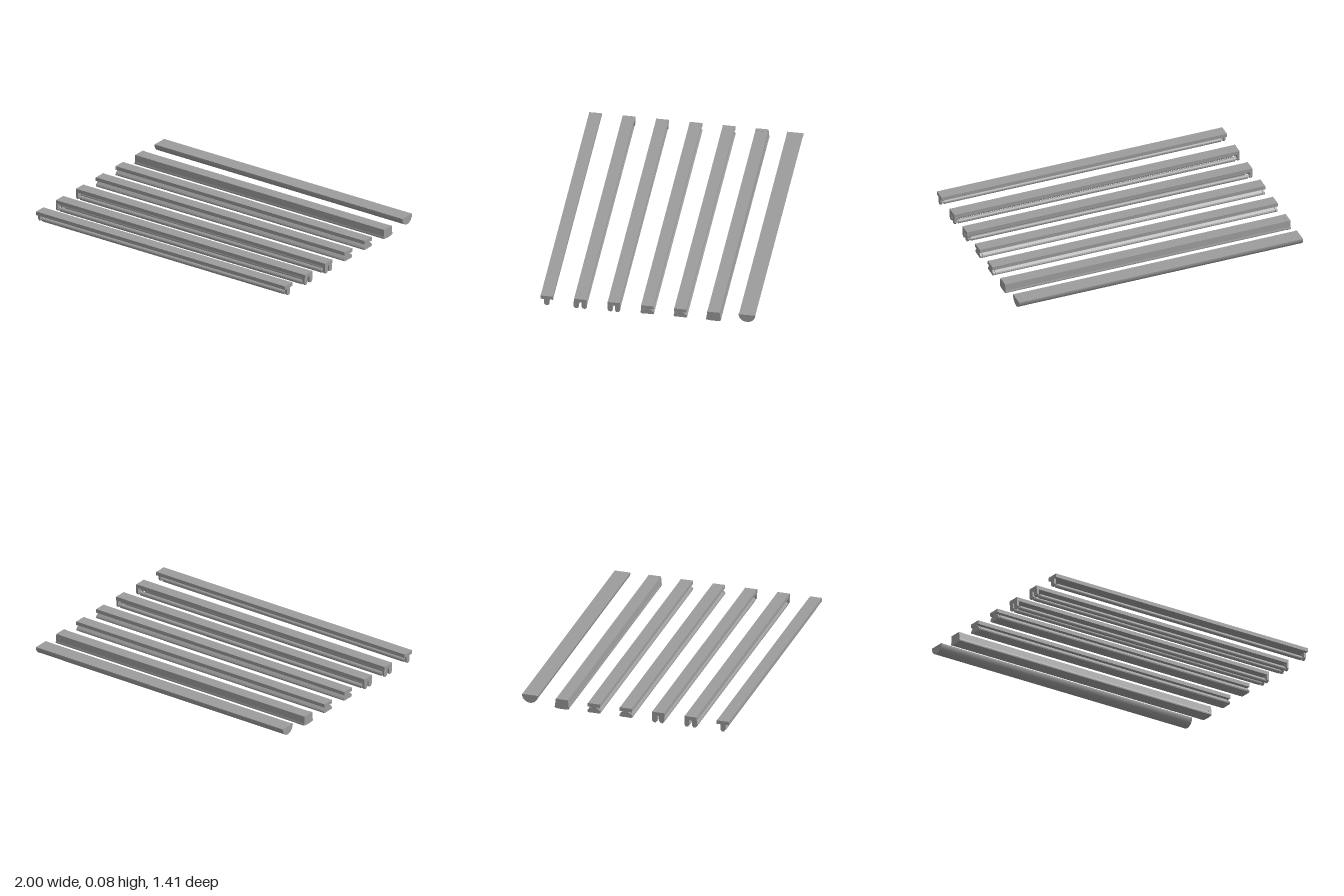
import * as THREE from 'three';

const metal = new THREE.MeshStandardMaterial({ color: 0x9c9c9c });
metal.name = 'grey';

const TOP = 0.078, HOUSING_BOTTOM = 0.053;

function add(group, name, geometry, x = 0, y = 0, z = 0) {
  const mesh = new THREE.Mesh(geometry, metal);
  mesh.name = name;
  mesh.position.set(x, y, z);
  group.add(mesh);
  return mesh;
}

// Mirrors a half profile of [z, y] points, listed top to bottom, and extrudes it along x
function bar(half, length) {
  const mirrored = half.filter(p => p[0] > 0).reverse().map(([z, y]) => [-z, y]);
  const shape = new THREE.Shape([...half, ...mirrored].map(p => new THREE.Vector2(p[0], p[1])));
  const geometry = new THREE.ExtrudeGeometry(shape, { depth: length, bevelEnabled: false });
  geometry.translate(0, 0, -length / 2);
  return geometry.rotateY(Math.PI / 2);
}

function fixture(root, name, z) {
  const group = new THREE.Group();
  group.name = name;
  group.position.z = z;
  root.add(group);
  return group;
}

// Flat rectangular channel with slim end plates
function addHousing(group) {
  const h = TOP - HOUSING_BOTTOM, y = (TOP + HOUSING_BOTTOM) / 2;
  add(group, 'housing', new THREE.BoxGeometry(1.98, h, 0.081), 0, y);
  for (const s of [-1, 1]) {
    add(group, 'endPlate', new THREE.BoxGeometry(0.01, h, 0.084), s * 0.995, y);
  }
}

// Bare tube held between two hanging sockets
function addTube(group, z) {
  const tube = new THREE.CylinderGeometry(0.0145, 0.0145, 1.94, 20).rotateZ(Math.PI / 2);
  add(group, 'tube', tube, 0, 0.0145, z);
  const socket = bar([[0.017, 0.055], [0.017, 0.017], [0.008, 0.004]], 0.015);
  for (const s of [-1, 1]) {
    add(group, 'socket', socket, s * 0.9915, 0, z);
    const pin = new THREE.CylinderGeometry(0.008, 0.008, 0.02, 10).rotateZ(Math.PI / 2);
    add(group, 'tubePin', pin, s * 0.976, 0.0145, z);
  }
}

// Winged diffuser on a narrow neck
const wing = [
  [0.013, 0.055], [0.014, 0.05], [0.028, 0.043], [0.041, 0.031],
  [0.045, 0.023], [0.043, 0.015], [0.034, 0.011], [0.012, 0.012],
];

// Deep box diffuser, flaring slightly towards its lower edge
const boxLens = [
  [0.042, TOP], [0.046, 0.032], [0.049, 0.023], [0.048, 0.015], [0.032, 0.012], [0.012, 0.01],
];

export function createModel() {
  const root = new THREE.Group();
  root.name = 'lightFixtures';

  // Tube battens: one single, two twin
  const battens = [
    ['singleTubeFixture', 0.665, [0]],
    ['wideTwinFixture', 0.445, [-0.026, 0.026]],
    ['twinFixture', 0.224, [-0.024, 0.024]],
  ];
  for (const [name, z, tubes] of battens) {
    const group = fixture(root, name, z);
    addHousing(group);
    tubes.forEach(t => addTube(group, t));
  }

  // Winged fixtures
  for (const z of [0.004, -0.214]) {
    const group = fixture(root, 'wingedFixture', z);
    addHousing(group);
    add(group, 'wingDiffuser', bar(wing, 1.96));
    for (const s of [-1, 1]) add(group, 'wingEnd', bar(wing, 0.014), s * 0.99);
  }

  // Box diffuser fixture with end caps
  const box = fixture(root, 'boxFixture', -0.432);
  add(box, 'boxDiffuser', bar(boxLens.map(([z, y]) => [z * 0.98, y - (y === TOP ? 0.001 : 0)]), 1.95));
  for (const s of [-1, 1]) add(box, 'endCap', bar(boxLens, 0.025), s * 0.9875);

  // Half-round fixture: smooth lens below a flat cover
  const round = fixture(root, 'halfRoundFixture', -0.651);
  const lens = new THREE.CylinderGeometry(1, 1, 1.97, 40, 1, false, Math.PI, Math.PI);
  lens.rotateZ(Math.PI / 2).scale(1, 0.054, 0.053);
  add(round, 'roundDiffuser', lens, 0, 0.076);
  add(round, 'cover', new THREE.BoxGeometry(1.985, 0.004, 0.106), 0, 0.076);
  for (const s of [-1, 1]) {
    const cap = new THREE.CylinderGeometry(1, 1, 0.014, 40, 1, false, Math.PI, Math.PI);
    cap.rotateZ(Math.PI / 2).scale(1, 0.056, 0.0545);
    add(round, 'endCap', cap, s * 0.988, TOP);
    add(round, 'capTop', new THREE.BoxGeometry(0.014, 0.004, 0.109), s * 0.988, TOP - 0.002);
  }
  return root;
}
